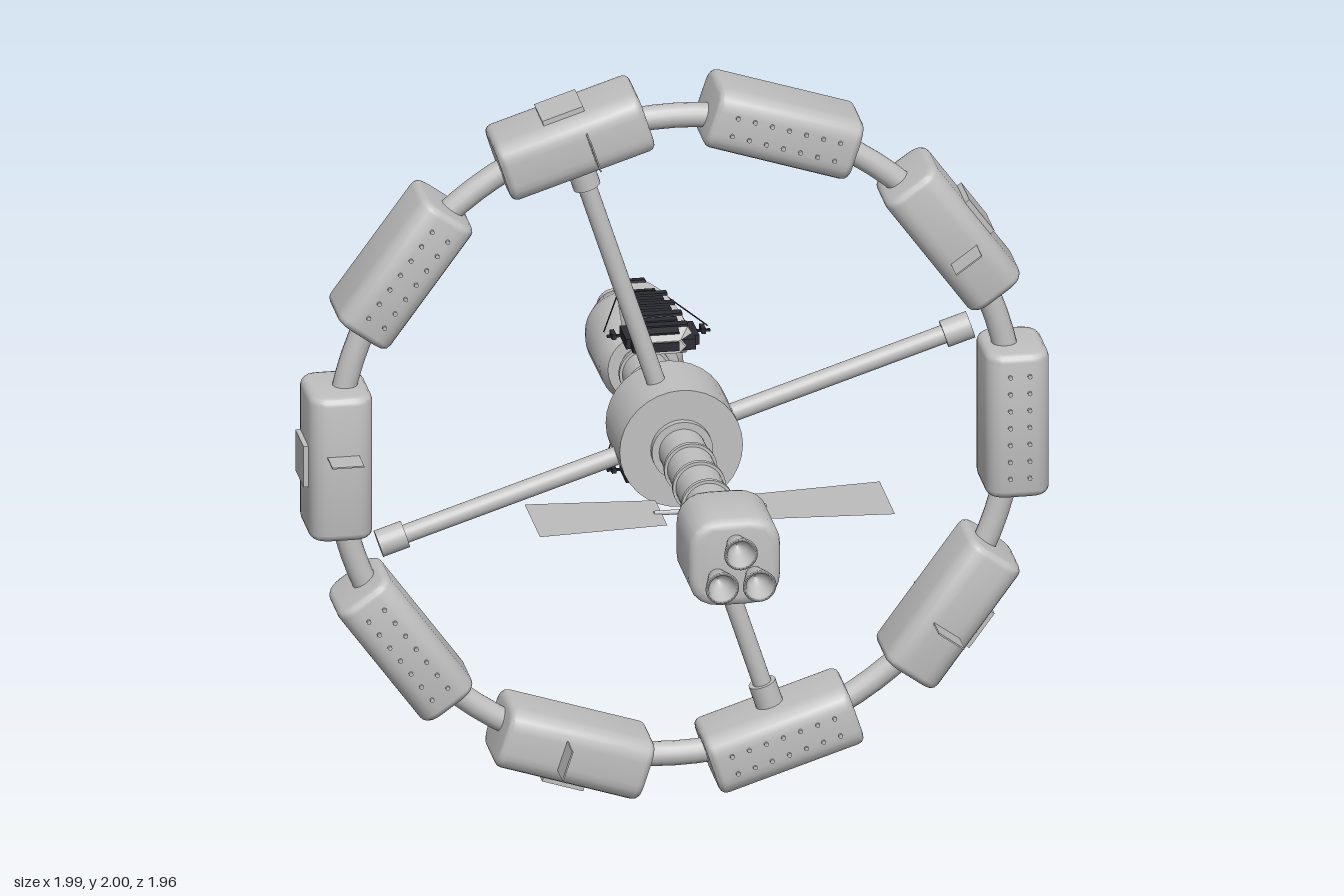
import * as THREE from 'three';
import { mergeGeometries, toCreasedNormals } from 'three/addons/utils/BufferGeometryUtils.js';

const mat = (name, color, side = THREE.FrontSide) => {
  const m = new THREE.MeshStandardMaterial({ color, side });
  m.name = name;
  return m;
};

export function createModel() {
  const hull = mat('hullGrey', 0xc0c0c0);
  const pale = mat('shuttleGrey', 0xcccccc);
  const dark = mat('darkTiles', 0x2b2b33);
  const sheet = mat('panelGrey', 0xbcbcbc, THREE.DoubleSide);
  const nozzle = mat('nozzleGrey', 0xbfbfbf, THREE.DoubleSide);

  const model = new THREE.Group();
  const add = (parent, name, geo, material, x = 0, y = 0, z = 0) => {
    const m = new THREE.Mesh(geo, material);
    m.name = name;
    m.position.set(x, y, z);
    parent.add(m);
    return m;
  };
  const group = (parent, name, x = 0, y = 0, z = 0) => {
    const g = new THREE.Group();
    g.name = name;
    g.position.set(x, y, z);
    parent.add(g);
    return g;
  };
  const box = (w, h, d) => new THREE.BoxGeometry(w, h, d);
  const rod = (r, len, sides = 24) => new THREE.CylinderGeometry(r, r, len, sides);
  // Drum along z between two stations
  const drum = (parent, name, r, z0, z1) =>
    add(parent, name, rod(r, z1 - z0, 32).rotateX(Math.PI / 2), hull, 0, 0, (z0 + z1) / 2);

  // Rounded-rectangle block extruded along z, centred, with bevelled ends
  const softBlock = (w, h, d, r, bevel) => {
    const x = w / 2 - bevel, y = h / 2 - bevel, s = new THREE.Shape();
    s.moveTo(-x + r, -y);
    s.lineTo(x - r, -y); s.quadraticCurveTo(x, -y, x, -y + r);
    s.lineTo(x, y - r); s.quadraticCurveTo(x, y, x - r, y);
    s.lineTo(-x + r, y); s.quadraticCurveTo(-x, y, -x, y - r);
    s.lineTo(-x, -y + r); s.quadraticCurveTo(-x, -y, -x + r, -y);
    const g = new THREE.ExtrudeGeometry(s, {
      depth: d - 2 * bevel, bevelEnabled: true, bevelSize: bevel,
      bevelThickness: bevel, bevelSegments: 3, curveSegments: 5,
    });
    return toCreasedNormals(g.translate(0, 0, -d / 2 + bevel), 0.6);
  };

  const station = group(model, 'station', 0, 1, 0);

  // Habitat wheel
  const wheel = group(station, 'wheel', 0, 0, -0.045);
  const R = 0.905;
  add(wheel, 'ringTube', new THREE.TorusGeometry(R, 0.033, 16, 100), hull);
  const moduleGeo = softBlock(0.17, 0.225, 0.405, 0.035, 0.02).rotateX(Math.PI / 2);
  const bumps = [];
  for (const side of [-1, 1])
    for (const row of [-0.026, 0.026])
      for (let i = -3; i <= 3; i++)
        bumps.push(rod(0.006, 0.012, 8).rotateX(Math.PI / 2).translate(row, i * 0.048, side * 0.114));
  const bumpGeo = mergeGeometries(bumps);
  for (let i = 0; i < 10; i++) {
    const pivot = group(wheel, 'habitatModule');
    pivot.rotation.z = i * Math.PI / 5;
    add(pivot, 'moduleBody', moduleGeo, hull, R);
    if (i % 2) {
      add(pivot, 'roofHatch', box(0.025, 0.115, 0.125), hull, 0.991);
      for (const s of [-1, 1])
        add(pivot, 'sideFin', box(0.085, 0.004, 0.08), sheet, R, -0.04, s * 0.147);
    } else {
      add(pivot, 'portholes', bumpGeo, hull, R);
    }
  }

  // Spokes with end collars
  for (let i = 0; i < 4; i++) {
    const spoke = group(wheel, 'spoke');
    spoke.rotation.z = Math.PI / 10 + i * Math.PI / 2;
    add(spoke, 'spokeTube', rod(0.025, 0.7).rotateZ(Math.PI / 2), hull, 0.43);
    add(spoke, 'spokeCollar', rod(0.037, 0.075).rotateZ(Math.PI / 2), hull, 0.795);
  }

  // Hub and spine
  drum(station, 'hub', 0.165, -0.155, 0.06);
  drum(station, 'frontFlange', 0.082, 0.055, 0.08);
  drum(station, 'rearFlange', 0.082, -0.18, -0.15);
  drum(station, 'spine', 0.063, -0.56, 0.7);
  for (const z of [0.2, 0.33, 0.463, 0.595, -0.18, -0.27, -0.375, -0.49])
    drum(station, 'spineRing', 0.071, z - 0.007, z + 0.007);

  // Rear tank
  const tank = [[0, 0.52], [0.095, 0.52], [0.112, 0.55], [0.114, 0.76], [0.108, 0.8],
    [0.06, 0.93], [0.045, 0.945], [0.045, 0.98], [0, 0.98]];
  const tankGeo = new THREE.LatheGeometry(tank.map(p => new THREE.Vector2(...p)), 32);
  add(station, 'rearTank', toCreasedNormals(tankGeo.rotateX(-Math.PI / 2), 0.6), hull);

  // Engine block with three open nozzles
  add(station, 'engineBlock', softBlock(0.245, 0.245, 0.235, 0.06, 0.025), hull, 0, 0.003, 0.78);
  const bell = new THREE.LatheGeometry([[0.022, 0], [0.032, 0.04], [0.045, 0.09], [0.036, 0.09],
    [0.024, 0.04], [0, 0.02]].map(p => new THREE.Vector2(...p)), 24).rotateX(Math.PI / 2);
  for (const [x, y] of [[0, 0.06], [-0.05, -0.033], [0.05, -0.033]])
    add(station, 'nozzle', bell, nozzle, x, y, 0.885);

  // Radiator wings
  for (const s of [-1, 1]) {
    const shape = new THREE.Shape([[0.13, 0.41], [0.475, 0.38], [0.475, 0.615], [0.13, 0.59]]
      .map(([x, z]) => new THREE.Vector2(s * x, z)));
    add(station, 'radiatorWing', new THREE.ShapeGeometry(shape).rotateX(Math.PI / 2), sheet);
    add(station, 'wingRod', rod(0.007, 0.1, 8).rotateZ(Math.PI / 2), hull, s * 0.1, 0, 0.5);
  }

  // Docked shuttles: cross-sections as [z, half width, top, bottom]
  const sections = [[-0.19, 0.055, 0.205, 0.17], [-0.24, 0.092, 0.224, 0.15], [-0.34, 0.088, 0.228, 0.14],
    [-0.5, 0.07, 0.22, 0.155], [-0.62, 0.045, 0.2, 0.17], [-0.67, 0.03, 0.19, 0.178]];
  const hullLoop = ([z, w, t, b]) => {
    const m = (t + b) / 2;
    return [[w, m, z], [w * 0.75, t, z], [-w * 0.75, t, z], [-w, m, z], [-w * 0.7, b, z], [w * 0.7, b, z]];
  };
  const tris = [];
  sections.slice(1).forEach((sec, k) => {
    const a = hullLoop(sections[k]), b = hullLoop(sec);
    for (let i = 0; i < 6; i++) {
      const j = (i + 1) % 6;
      tris.push(a[i], a[j], b[i], a[j], b[j], b[i]);
    }
  });
  const nose = hullLoop(sections[0]), tail = hullLoop(sections[5]);
  for (let i = 1; i < 5; i++) {
    tris.push(nose[0], nose[i], nose[i + 1]);
    tris.push(tail[0], tail[i + 1], tail[i]);
  }
  // Rings run anticlockwise seen from +z, so each side quad is turned to face out
  for (let i = 0; i < 5 * 6 * 6; i += 3) [tris[i + 1], tris[i + 2]] = [tris[i + 2], tris[i + 1]];
  const shuttleGeo = new THREE.BufferGeometry();
  shuttleGeo.setAttribute('position', new THREE.Float32BufferAttribute(tris.flat(), 3));
  shuttleGeo.computeVertexNormals();

  // Interpolated half width and top height of the shuttle at z
  const at = z => {
    let k = 0;
    while (k < 4 && sections[k + 1][0] > z) k++;
    const [a, b] = [sections[k], sections[k + 1]], f = (z - a[0]) / (b[0] - a[0]);
    return [a[1] + (b[1] - a[1]) * f, a[2] + (b[2] - a[2]) * f, Math.atan2(a[2] - b[2], a[0] - b[0])];
  };

  for (const turn of [0, Math.PI]) {
    const shuttle = group(station, 'shuttle');
    shuttle.rotation.z = turn;
    add(shuttle, 'shuttleHull', shuttleGeo, pale);
    // Staggered rows of dark tiles on the back
    [-0.225, -0.252, -0.285, -0.325, -0.365, -0.405, -0.445, -0.485, -0.515, -0.65].forEach((z, i) => {
      const [w, t, tilt] = at(z);
      const width = w * (i === 8 ? 0.9 : i % 2 ? 1.45 : 1.25);
      const tile = add(shuttle, 'tileRow', box(width, 0.009, i === 9 ? 0.035 : 0.024), dark,
        i < 8 ? (i % 2 ? 0.004 : -0.008) : 0, t + 0.002, z);
      tile.rotation.x = -tilt;
    });
    for (const s of [-1, 1]) {
      // Dark machinery round the blunt end
      add(shuttle, 'sideMachinery', box(0.022, 0.028, 0.1), dark, s * 0.087, 0.19, -0.275);
      add(shuttle, 'cornerMachinery', box(0.045, 0.03, 0.035), dark, s * 0.062, 0.19, -0.213);
      add(shuttle, 'thruster', box(0.012, 0.014, 0.04), dark, s * 0.12, 0.19, -0.3);
      add(shuttle, 'thrusterArm', box(0.05, 0.006, 0.008), dark, s * 0.113, 0.19, -0.29);
      // Thin stay from tail to outrigger
      const stay = new THREE.LineCurve3(new THREE.Vector3(s * 0.035, 0.185, -0.66), new THREE.Vector3(s * 0.14, 0.185, -0.33));
      add(shuttle, 'outriggerStay', new THREE.TubeGeometry(stay, 1, 0.002, 5), dark);
    }
    add(shuttle, 'bluntEndPlate', box(0.075, 0.025, 0.008), dark, 0, 0.19, -0.19);
    // Docking strut
    add(shuttle, 'dockingStrut', rod(0.018, 0.14), hull, 0, 0.08, -0.43);
    add(shuttle, 'dockingCap', rod(0.029, 0.018), hull, 0, 0.137, -0.43);
  }
  return model;
}
